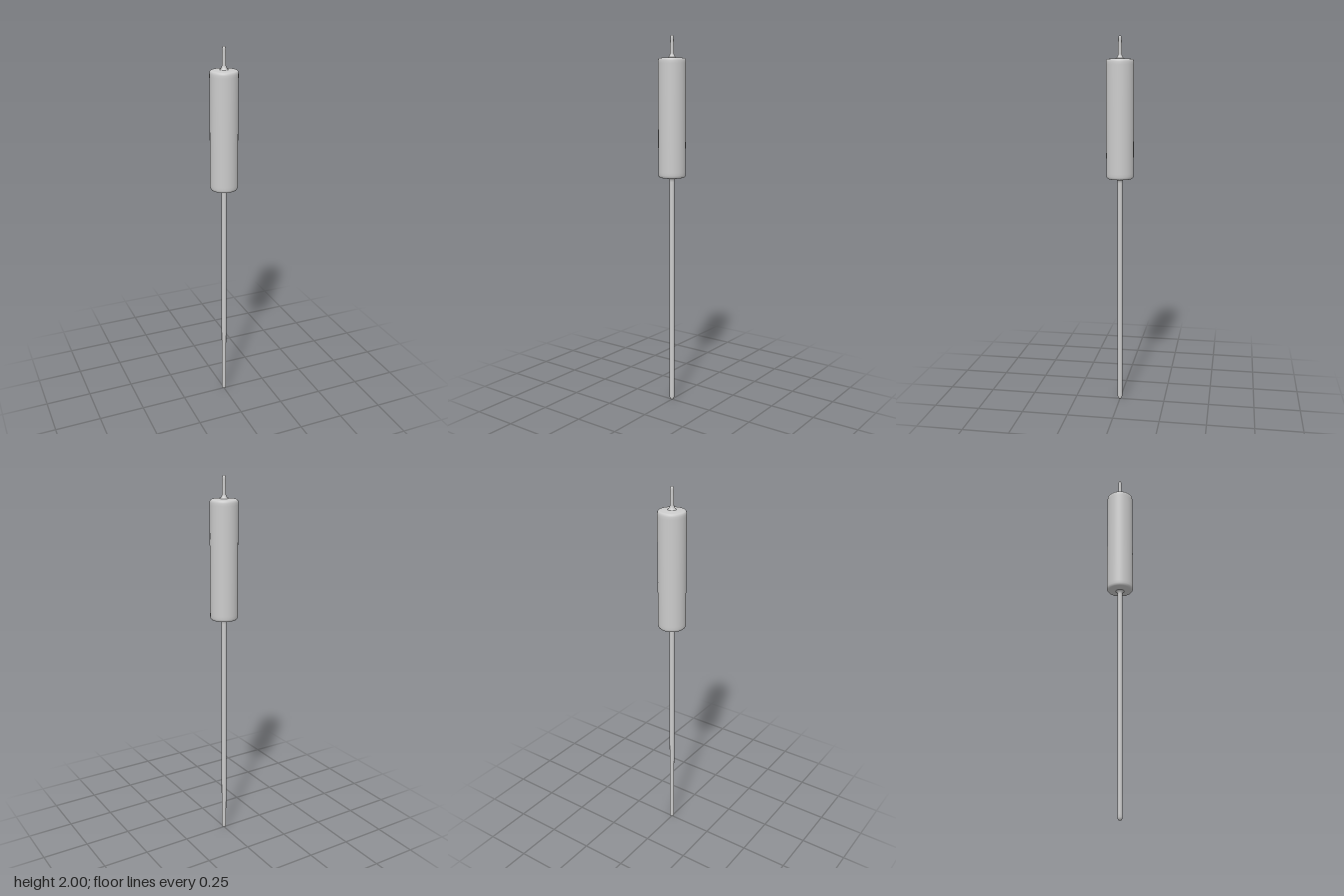
import * as THREE from 'three';

// Turns a list of [radius, height] pairs (bottom to top) into a smooth round part
function turned(name, profile, material) {
  const points = profile.map(([r, y]) => new THREE.Vector2(r, y));
  const mesh = new THREE.Mesh(new THREE.LatheGeometry(points, 48), material);
  mesh.name = name;
  return mesh;
}

export function createModel() {
  const group = new THREE.Group();
  group.name = 'reed';
  const material = new THREE.MeshStandardMaterial({ color: 0xcccccc });

  // Long stalk with a rounded foot
  group.add(turned('stalk', [
    [0, 0], [0.007, 0.002], [0.011, 0.007], [0.013, 0.015], [0.013, 0.03],
    [0.013, 1.235], [0.014, 1.245], [0.018, 1.253], [0.025, 1.258],
  ], material));

  // Thick seed head with softly rounded rims
  group.add(turned('seedHead', [
    [0.013, 1.256], [0.022, 1.257], [0.06, 1.259], [0.067, 1.261], [0.071, 1.266],
    [0.073, 1.275], [0.073, 1.29], [0.073, 1.855], [0.073, 1.868], [0.071, 1.877],
    [0.067, 1.881], [0.06, 1.883], [0.022, 1.886], [0.009, 1.888],
  ], material));

  // Thin spike flaring into the top of the head
  group.add(turned('spike', [
    [0.025, 1.884], [0.017, 1.89], [0.012, 1.898], [0.01, 1.908],
    [0.009, 1.98], [0.009, 1.99], [0.007, 1.996], [0.004, 1.999], [0, 2],
  ], material));

  return group;
}
